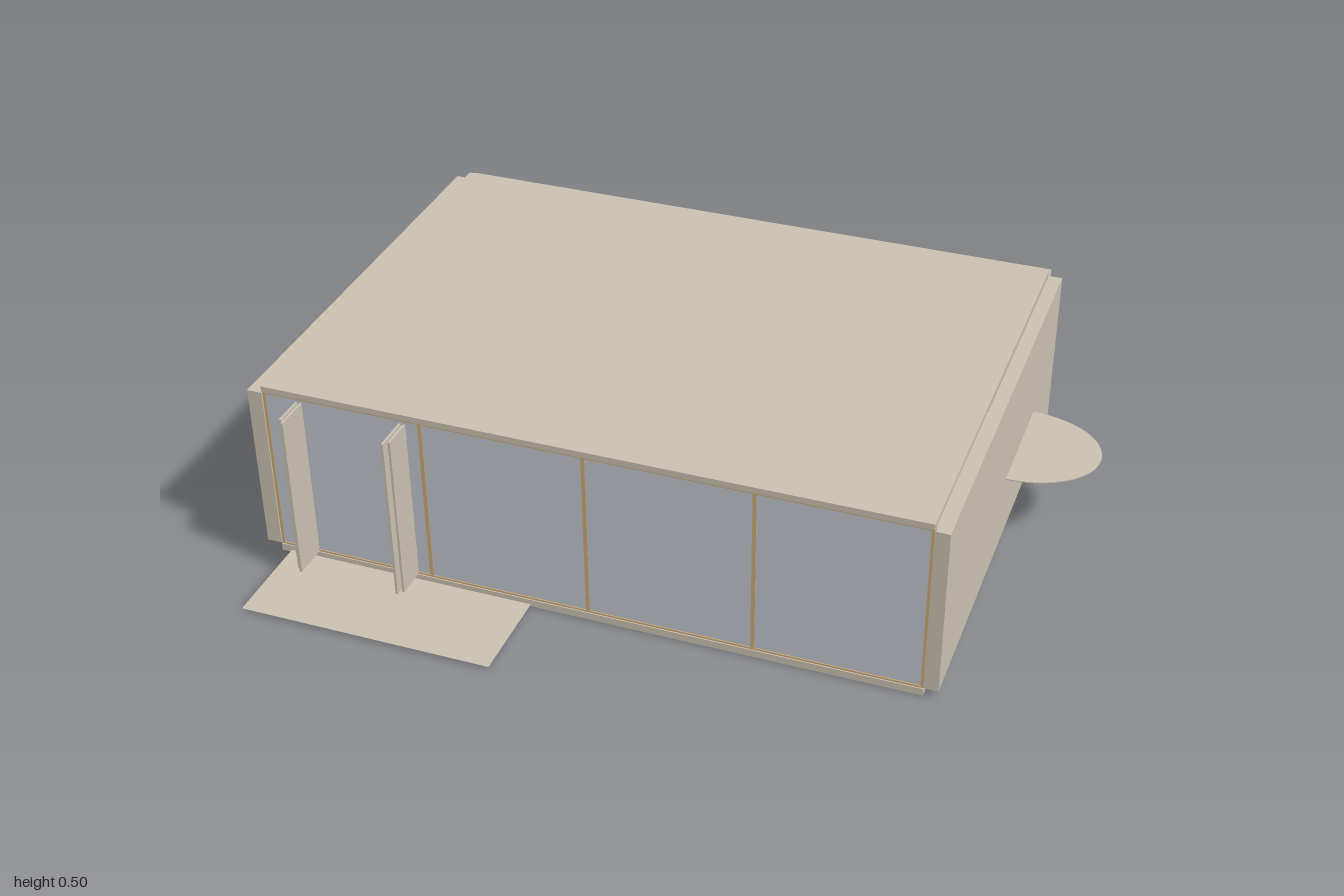
import * as THREE from 'three';

export function createModel() {
  const model = new THREE.Group();
  const plaster = new THREE.MeshStandardMaterial({ color: 0xc9bfb0 });
  plaster.name = 'plaster';
  plaster.side = THREE.DoubleSide;
  const glass = new THREE.MeshStandardMaterial({ color: 0xbfc3c9 });
  glass.name = 'glass';
  const wood = new THREE.MeshStandardMaterial({ color: 0xc8a878 });
  wood.name = 'wood';

  // Box given by its limits on each axis
  function box(name, mat, [x0, x1], [y0, y1], [z0, z1]) {
    const mesh = new THREE.Mesh(new THREE.BoxGeometry(x1 - x0, y1 - y0, z1 - z0), mat);
    mesh.position.set((x0 + x1) / 2, (y0 + y1) / 2, (z0 + z1) / 2);
    mesh.name = name;
    model.add(mesh);
    return mesh;
  }

  // Shell: floor and roof slabs with walls set outside them
  const inner = [-0.96, 0.75], depth = [-0.668, 0.556], wallY = [0.023, 0.484];
  box('floorSlab', plaster, inner, [0, 0.02], depth);
  box('roofSlab', plaster, inner, [0.487, 0.503], depth);
  box('rightWall', plaster, [-1, -0.96], wallY, depth);
  box('leftWall', plaster, [0.75, 0.787], wallY, depth);
  box('backWall', plaster, inner, wallY, [-0.705, -0.668]);

  // Glazed front: four panes between thin wooden posts
  const posts = [-0.957, -0.533, -0.107, 0.322, 0.747];
  posts.forEach((x, i) => {
    box('windowPost', wood, [x - 0.005, x + 0.005], [0.02, 0.487], [0.535, 0.552]);
    if (i > 0) box('windowPane', glass, [posts[i - 1] + 0.005, x - 0.005], [0.025, 0.482], [0.54, 0.55]);
  });
  box('bottomRail', wood, [-0.952, 0.742], [0.018, 0.025], [0.535, 0.553]);
  box('topRail', wood, [-0.952, 0.742], [0.482, 0.489], [0.535, 0.553]);

  // Folded door leaves standing out from the front, in two mirrored pairs
  const leaves = [[-0.868, 0.633], [-0.856, 0.646], [-0.586, 0.646], [-0.574, 0.633]];
  for (const [x, z] of leaves) {
    box('doorLeaf', plaster, [x - 0.003, x + 0.003], [0.02, 0.473], [0.55, z]);
  }

  // Flat landings at the front and back
  function landing(name, x0, x1, z0, z1, y) {
    const mesh = new THREE.Mesh(new THREE.PlaneGeometry(x1 - x0, z1 - z0).rotateX(-Math.PI / 2), plaster);
    mesh.position.set((x0 + x1) / 2, y, (z0 + z1) / 2);
    mesh.name = name;
    model.add(mesh);
  }
  landing('frontLanding', -0.933, -0.26, 0.556, 0.812, 0.006);
  landing('backLanding', -0.41, 0.2, -0.82, -0.705, 0.022);

  // Half-round shelf on the left wall
  const shape = new THREE.Shape();
  shape.absellipse(0, 0, 0.213, 0.165, -Math.PI / 2, Math.PI / 2, false);
  shape.closePath();
  const shelf = new THREE.Mesh(
    new THREE.ExtrudeGeometry(shape, { depth: 0.003, bevelEnabled: false, curveSegments: 32 }).rotateX(-Math.PI / 2),
    plaster
  );
  shelf.position.set(0.787, 0.207, -0.252);
  shelf.name = 'halfRoundShelf';
  model.add(shelf);

  return model;
}
